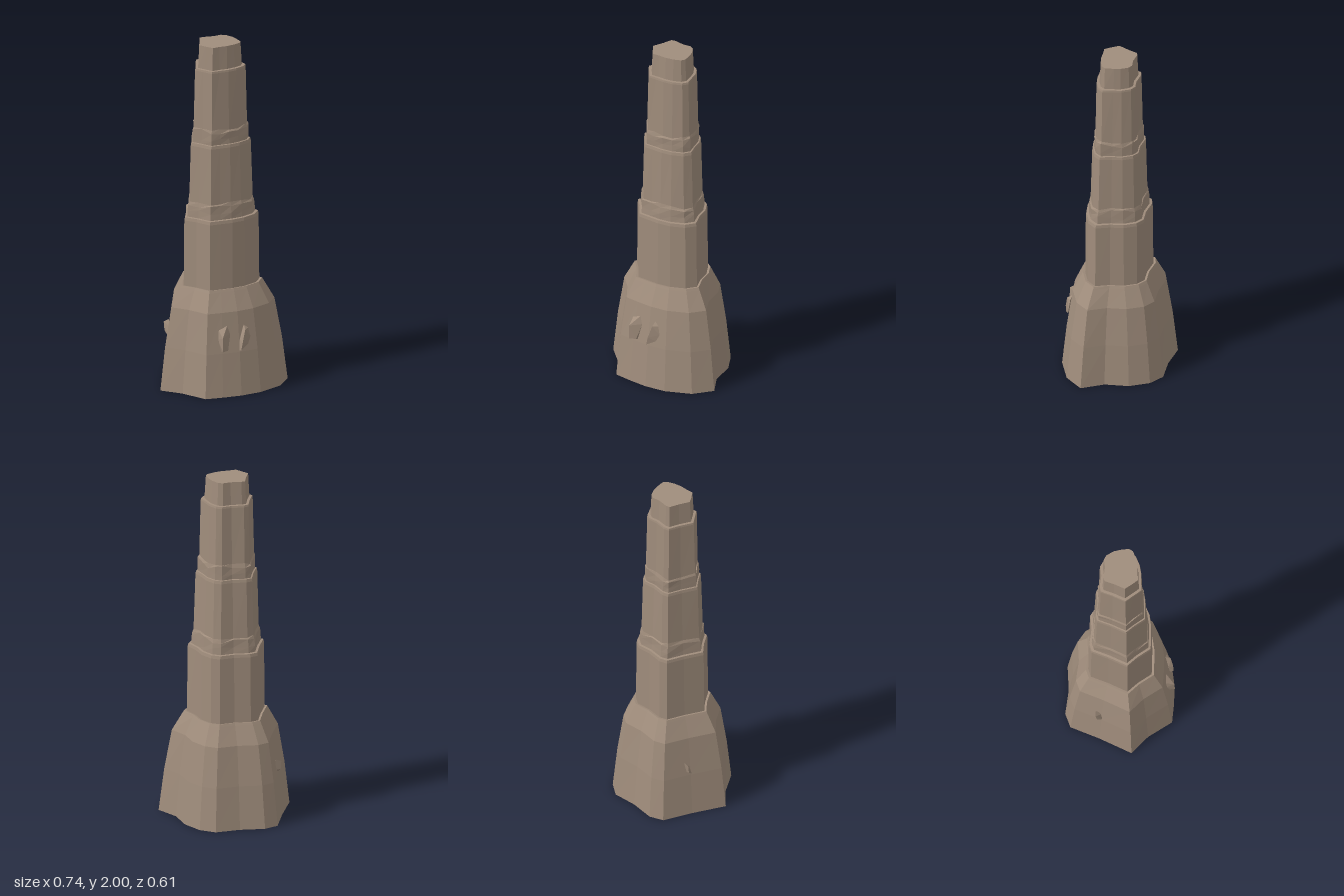
import * as THREE from 'three';
import { ConvexGeometry } from 'three/addons/geometries/ConvexGeometry.js';

// Matching [x, z] outlines at the foot and at the summit
const FOOT = [
  [-0.37, 0.07], [-0.27, 0.16], [-0.18, 0.29], [-0.08, 0.297], [0.03, 0.298], [0.15, 0.278],
  [0.29, 0.21], [0.368, 0.107], [0.295, -0.01], [0.272, -0.145], [0.21, -0.25], [0.13, -0.303],
  [-0.01, -0.292], [-0.15, -0.307], [-0.228, -0.275], [-0.29, -0.11],
];
const SUMMIT = [
  [-0.125, 0.025], [-0.1, 0.06], [-0.07, 0.097], [-0.03, 0.092], [0.015, 0.09], [0.06, 0.08],
  [0.1, 0.062], [0.113, 0.04], [0.105, -0.01], [0.095, -0.045], [0.07, -0.085], [0.045, -0.098],
  [0, -0.09], [-0.06, -0.096], [-0.083, -0.09], [-0.1, -0.035],
];
const N = FOOT.length;

// Repeatable value in -1..1 for chipped edges
const chip = (i, k) => Math.sin(i * 12.9 + k * 7.3) * Math.cos(i * 4.7 - k * 2.1);

// One ring: t blends foot to summit, rough breaks up its height and radius
function ring([y, t, rough = 0]) {
  return FOOT.map(([x, z], i) => {
    const s = t + rough * 0.6 * chip(i, y * 10);
    return [
      THREE.MathUtils.lerp(x, SUMMIT[i][0], s),
      y + rough * chip(i + 5, y * 10),
      THREE.MathUtils.lerp(z, SUMMIT[i][1], s),
    ];
  });
}

// Skin a stack of rings, optionally closing the top
function skin(levels, capped) {
  const rings = levels.map(ring);
  const pos = [];
  const tri = (...pts) => pts.forEach((p) => pos.push(...p));
  for (let k = 0; k < rings.length - 1; k++) {
    for (let i = 0; i < N; i++) {
      const j = (i + 1) % N;
      const [a, b, c, d] = [rings[k][i], rings[k][j], rings[k + 1][j], rings[k + 1][i]];
      tri(a, b, c);
      tri(a, c, d);
    }
  }
  if (capped) {
    const top = rings[rings.length - 1];
    top.forEach((p, i) => tri(p, top[(i + 1) % N], [0, p[1], 0]));
  }
  const g = new THREE.BufferGeometry();
  g.setAttribute('position', new THREE.Float32BufferAttribute(pos, 3));
  g.computeVertexNormals();
  return g;
}

export function createModel() {
  const group = new THREE.Group();
  const stone = new THREE.MeshStandardMaterial({
    color: 0xa08d7c, flatShading: true, side: THREE.DoubleSide,
  });
  stone.name = 'brown stone';
  const add = (name, geometry) => {
    const mesh = new THREE.Mesh(geometry, stone);
    mesh.name = name;
    group.add(mesh);
  };

  // Flared hollow foot, open underneath, ending in a narrow ledge
  add('flaredBase', skin([[0, 0], [0.25, 0.12], [0.48, 0.28], [0.585, 0.51], [0.598, 0.54], [0.595, 0.61]]));
  // Stepped tiers, each with a thin ledge on top
  add('lowerTier', skin([[0.595, 0.6], [0.98, 0.615], [0.998, 0.63], [1.0, 0.7]]));
  add('middleTier', skin([
    [1.0, 0.69], [1.035, 0.7, 0.014], [1.075, 0.71, 0.016], [1.09, 0.74, 0.01],
    [1.415, 0.78], [1.432, 0.795], [1.434, 0.85],
  ]));
  add('upperTier', skin([
    [1.434, 0.83], [1.465, 0.83, 0.014], [1.505, 0.83, 0.018], [1.52, 0.86, 0.01],
    [1.855, 0.89], [1.866, 0.9], [1.867, 0.98],
  ]));
  add('summitBlock', skin([[1.867, 0.97], [2, 1]], true));

  // Loose rocks stuck to the foot
  const rock = (name, pts) => add(name, new ConvexGeometry(pts.map((p) => new THREE.Vector3(...p))));
  rock('frontRockRight', [
    [-0.095, 0.33, 0.25], [-0.08, 0.26, 0.26], [-0.045, 0.26, 0.26], [-0.022, 0.36, 0.255],
    [-0.035, 0.41, 0.245], [-0.09, 0.39, 0.245], [-0.08, 0.27, 0.302], [-0.082, 0.35, 0.3],
    [-0.045, 0.27, 0.285],
  ]);
  rock('frontRockLeft', [
    [0.025, 0.26, 0.27], [0.03, 0.32, 0.265], [0.06, 0.4, 0.245], [0.085, 0.38, 0.25],
    [0.097, 0.33, 0.255], [0.08, 0.29, 0.265], [0.03, 0.262, 0.29], [0.06, 0.38, 0.275],
    [0.04, 0.31, 0.289],
  ]);
  rock('sideRock', [
    [-0.28, 0.33, -0.133], [-0.25, 0.34, -0.133], [-0.265, 0.25, -0.09], [-0.24, 0.27, -0.12],
    [-0.278, 0.28, -0.125], [-0.25, 0.3, -0.095],
  ]);
  return group;
}
